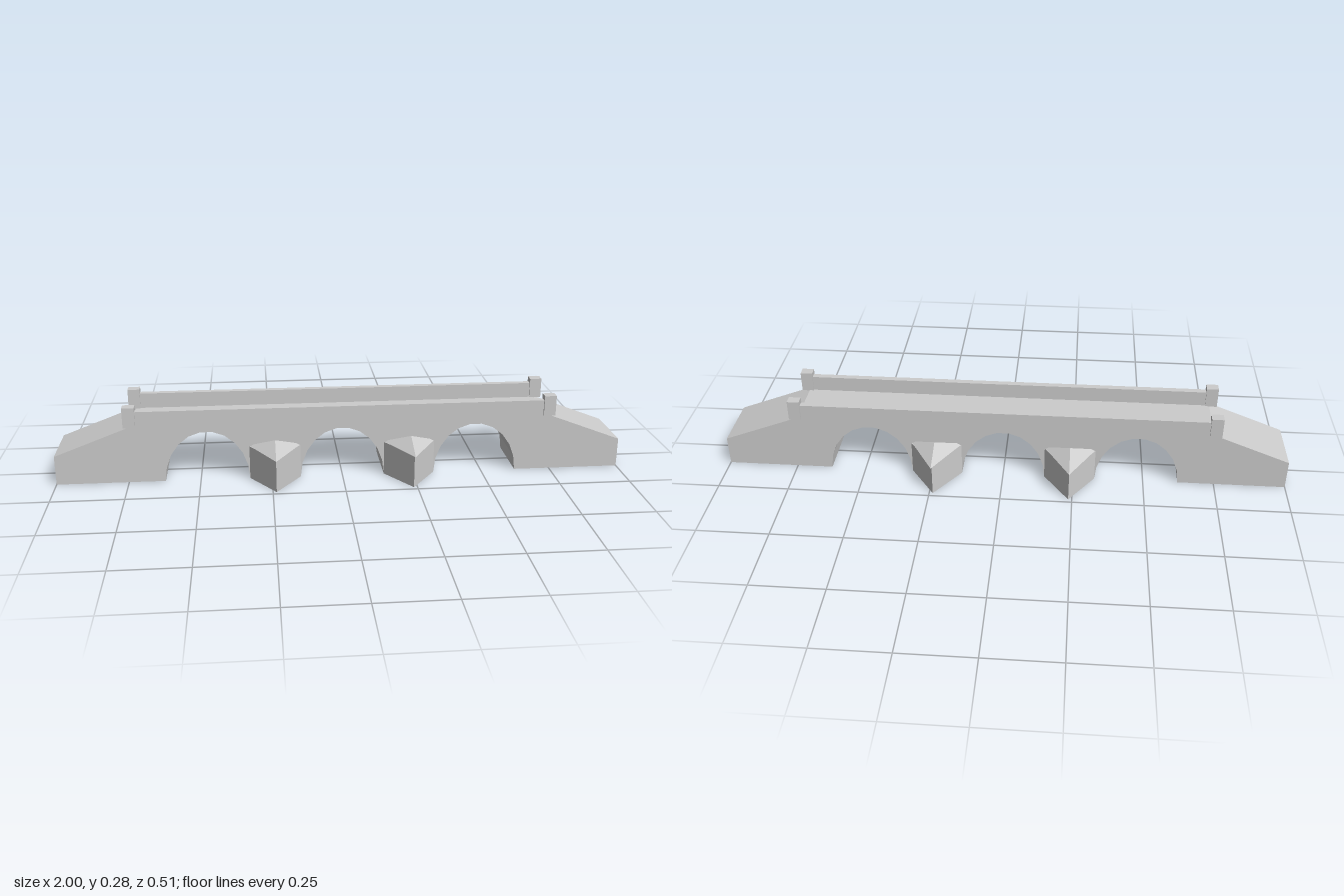
import * as THREE from 'three';

export function createModel() {
  const bridge = new THREE.Group();
  bridge.name = 'bridge';
  const stone = new THREE.MeshStandardMaterial({ color: 0xcccccc });
  stone.name = 'stone';

  const HALF_DEPTH = 0.105, DECK = 0.207;

  const add = (name, geometry, x = 0, y = 0, z = 0) => {
    const flat = geometry.index ? geometry.toNonIndexed() : geometry;
    flat.computeVertexNormals();
    const mesh = new THREE.Mesh(flat, stone);
    mesh.name = name;
    mesh.position.set(x, y, z);
    bridge.add(mesh);
    return mesh;
  };

  // Deck with sloping ramps and three faceted arches cut from below
  const profile = new THREE.Shape();
  profile.moveTo(-1, 0);
  const STEPS = 11;
  for (const cx of [-0.475, 0, 0.475]) {
    for (let i = 0; i <= STEPS; i++) {
      const a = Math.PI * (1 - i / STEPS);
      profile.lineTo(cx + 0.148 * Math.cos(a), 0.18 * Math.sin(a));
    }
  }
  profile.lineTo(1, 0);
  profile.lineTo(1, 0.104);
  profile.lineTo(0.73, DECK);
  profile.lineTo(-0.73, DECK);
  profile.lineTo(-1, 0.104);
  profile.closePath();
  const body = new THREE.ExtrudeGeometry(profile, { depth: 2 * HALF_DEPTH, bevelEnabled: false });
  add('archedDeck', body, 0, 0, -HALF_DEPTH);

  for (const side of [1, -1]) {
    const label = side > 0 ? 'front' : 'back';

    // Low parapet wall, slightly proud of the deck side
    add(label + 'Parapet', new THREE.BoxGeometry(1.46, 0.055, 0.022), 0, DECK + 0.0265, side * 0.099);

    for (const end of [1, -1]) {
      const where = label + (end > 0 ? 'Left' : 'Right');

      // Square post at the end of the parapet
      add(where + 'Post', new THREE.BoxGeometry(0.042, 0.072, 0.034), end * 0.736, DECK + 0.035, side * 0.1);

      // Pointed pier breaking the current between two arches
      const plan = new THREE.Shape();
      plan.moveTo(-0.0895, -0.105);
      plan.lineTo(0, -0.235);
      plan.lineTo(0.0895, -0.105);
      plan.closePath();
      const pier = new THREE.ExtrudeGeometry(plan, { depth: 0.12, bevelEnabled: false });
      pier.rotateX(-Math.PI / 2);
      if (side < 0) pier.rotateY(Math.PI);
      add(where + 'Pier', pier, end * 0.2375);

      // Three-sided pyramid cap overhanging the pier
      const cap = new THREE.ConeGeometry(0.107, 0.037, 3);
      if (side < 0) cap.rotateY(Math.PI);
      add(where + 'PierCap', cap, end * 0.2375, 0.1385, side * 0.148);
    }
  }

  return bridge;
}
